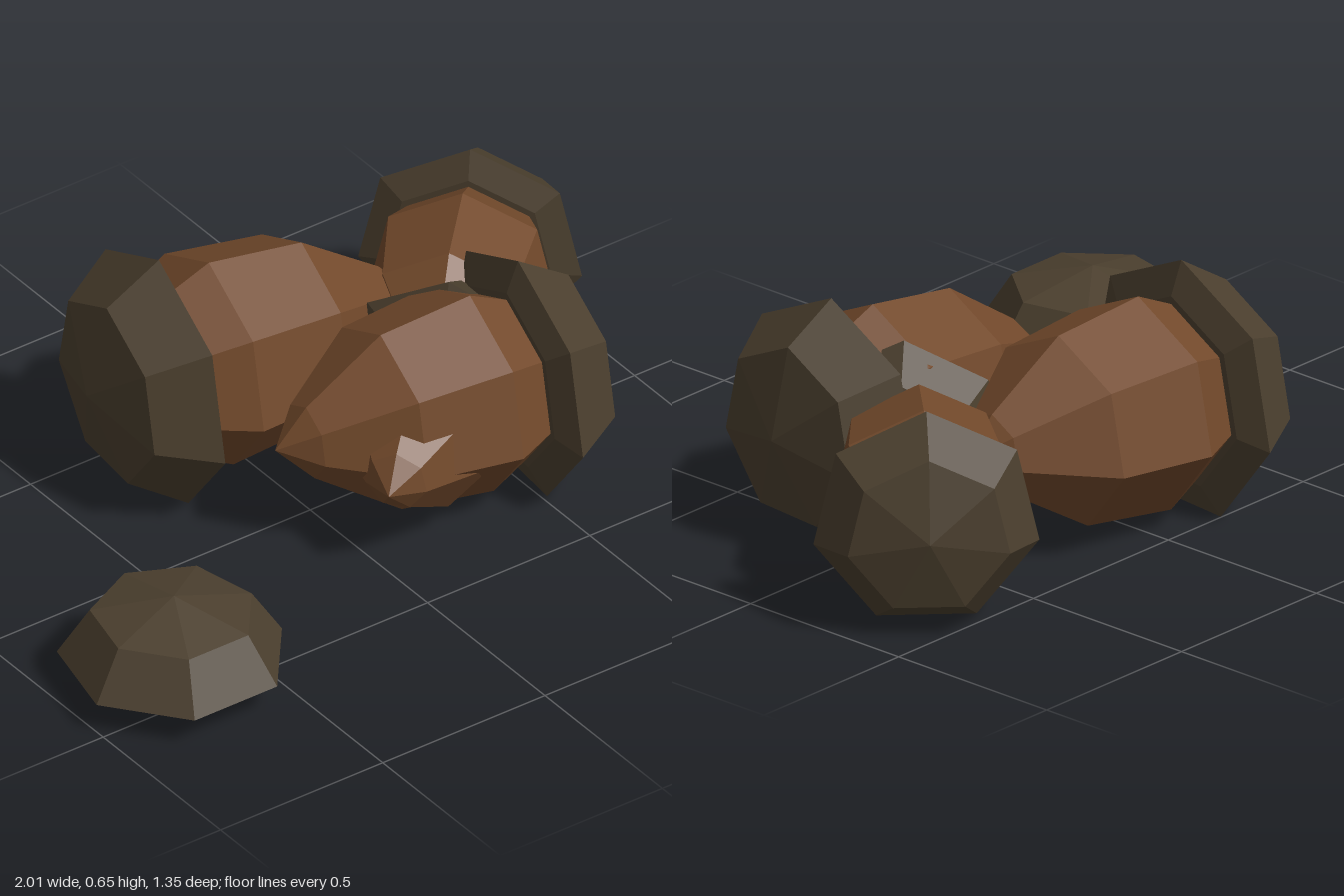
import * as THREE from 'three';

const capBrown = new THREE.MeshStandardMaterial({ color: 0x4b3f2e });
capBrown.name = 'cap dark brown';
const nutBrown = new THREE.MeshStandardMaterial({ color: 0x72492b });
nutBrown.name = 'nut warm brown';

// Profiles for a cap of radius 1, rim at y = 0, cap top towards +y
const CAP = [[0, -0.1], [0.74, -0.1], [1, 0], [0.72, 0.44], [0, 0.61]];
const NUT = [[0, -2.12], [0.3, -1.85], [0.74, -1.2], [0.83, -0.42], [0.66, -0.06], [0, -0.06]];

// Seven-sided, faceted lathe
function faceted(profile) {
  const points = profile.map(([r, y]) => new THREE.Vector2(r, y));
  const geometry = new THREE.LatheGeometry(points, 7).toNonIndexed();
  geometry.computeVertexNormals();
  return geometry;
}

const capGeometry = faceted(CAP);
const nutGeometry = faceted(NUT);

// One acorn: rim centre, rim radius, cap direction, and where the first corner points
function acorn(name, { centre, radius, capDir, corner, hasNut }) {
  const group = new THREE.Group();
  group.name = name;

  const cap = new THREE.Mesh(capGeometry, capBrown);
  cap.name = 'cap';
  group.add(cap);
  if (hasNut) {
    const nut = new THREE.Mesh(nutGeometry, nutBrown);
    nut.name = 'nut';
    group.add(nut);
  }

  const y = new THREE.Vector3(...capDir).normalize();
  const x = new THREE.Vector3().crossVectors(y, new THREE.Vector3(...corner)).normalize();
  const z = new THREE.Vector3().crossVectors(x, y);
  group.quaternion.setFromRotationMatrix(new THREE.Matrix4().makeBasis(x, y, z));
  group.position.set(...centre);
  group.scale.setScalar(radius);
  return group;
}

export function createModel() {
  const model = new THREE.Group();
  model.name = 'acornPile';
  const up = [0, 1, 0];

  // Pile of whole acorns lying on their sides
  model.add(
    acorn('backAcorn', { centre: [-0.213, 0.308, -0.35], radius: 0.342, capDir: [-0.994, 0, -0.105], corner: up, hasNut: true }),
    acorn('frontAcorn', { centre: [0.525, 0.302, 0.16], radius: 0.331, capDir: [0.995, 0, 0.1], corner: up, hasNut: true }),
    acorn('sideAcorn', { centre: [0.773, 0.272, -0.387], radius: 0.29, capDir: [0.7, 0, -0.71], corner: up, hasNut: true }),
    acorn('innerAcorn', { centre: [0.42, 0.258, 0.01], radius: 0.27, capDir: [0.78, 0, -0.63], corner: up, hasNut: true })
  );

  // Loose cap lying open side down
  model.add(
    acorn('looseCap', { centre: [-0.713, 0.08, 0.405], radius: 0.293, capDir: up, corner: [0, 0, -1], hasNut: false })
  );

  return model;
}
